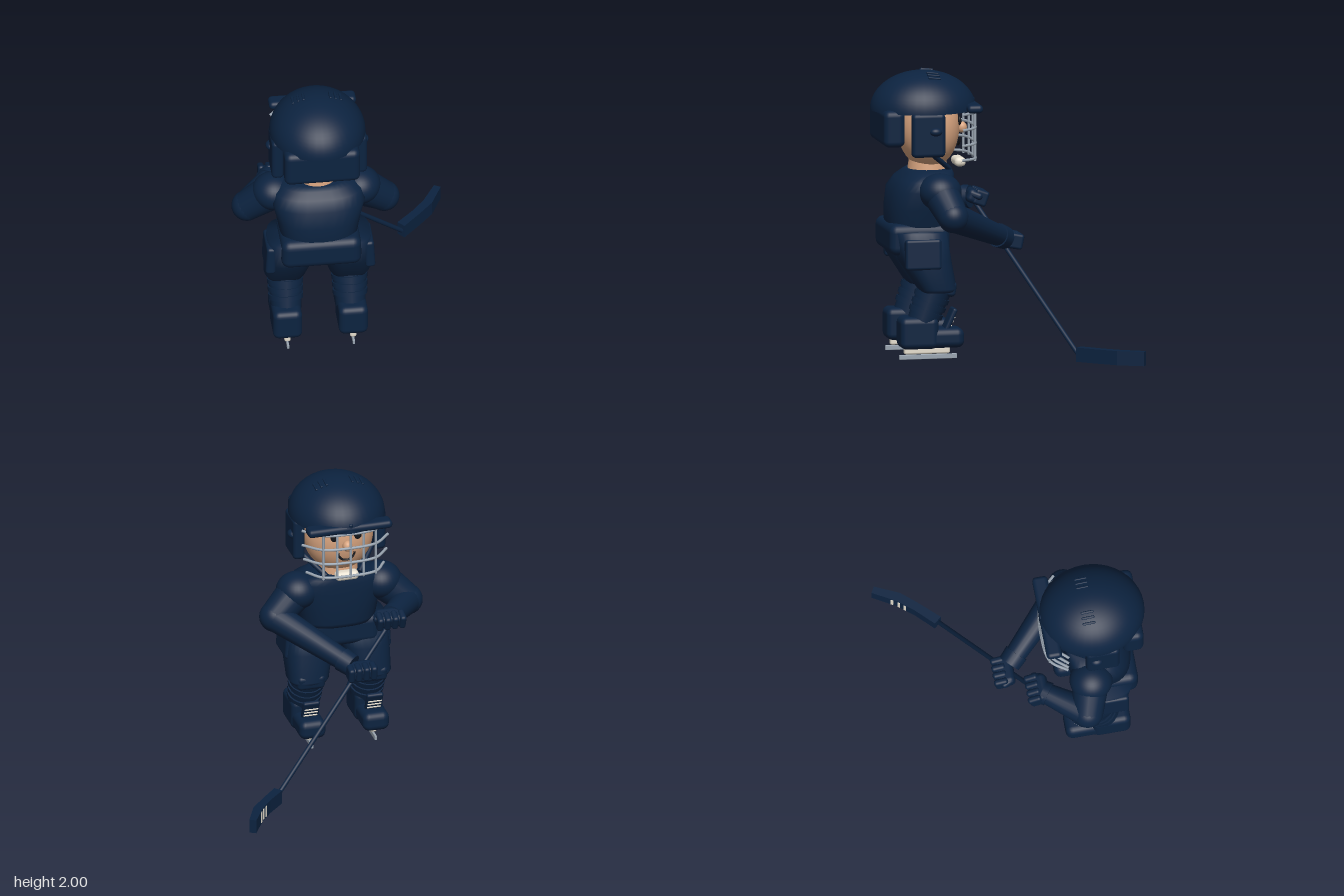
import * as THREE from 'three';
import { RoundedBoxGeometry } from 'three/addons/geometries/RoundedBoxGeometry.js';

const V = (x, y, z) => new THREE.Vector3(x, y, z);
const material = (name, color) => {
  const m = new THREE.MeshStandardMaterial({ color });
  m.name = name;
  return m;
};

// Closed loft through superellipse rings [x, y, z, rx, rz], listed bottom to top.
function loft(rings, power = 0.75, n = 32) {
  const first = rings[0], last = rings[rings.length - 1];
  const all = [[...first.slice(0, 3), 0, 0], ...rings, [...last.slice(0, 3), 0, 0]];
  const pos = [], idx = [];
  const bend = v => Math.sign(v) * Math.abs(v) ** power;
  for (const [x, y, z, rx, rz] of all) {
    for (let j = 0; j < n; j++) {
      const t = (j / n) * Math.PI * 2;
      pos.push(x + rx * bend(Math.cos(t)), y, z + rz * bend(Math.sin(t)));
    }
  }
  for (let i = 0; i < all.length - 1; i++) {
    for (let j = 0; j < n; j++) {
      const a = i * n + j, b = i * n + (j + 1) % n;
      idx.push(a, a + n, b, b, a + n, b + n);
    }
  }
  const g = new THREE.BufferGeometry();
  g.setAttribute('position', new THREE.Float32BufferAttribute(pos, 3));
  g.setIndex(idx);
  g.computeVertexNormals();
  return g;
}

export function createModel() {
  const navy = material('navy', 0x0c2340);
  const skin = material('skin', 0xd8a47f);
  const steel = material('steel', 0x9aa5b1);
  const cream = material('cream', 0xe8e0d0);
  const dark = material('dark', 0x15171c);

  const model = new THREE.Group();
  model.name = 'icePlayer';
  const body = new THREE.Group();
  body.name = 'body';
  body.position.x = -0.22;
  model.add(body);

  const add = (name, geo, mat, at = [0, 0, 0], rot = [0, 0, 0], parent = body) => {
    const m = new THREE.Mesh(geo, mat);
    m.name = name;
    m.position.set(...at);
    m.rotation.set(...rot);
    parent.add(m);
    return m;
  };
  const box = (name, size, r, mat, at, rot, parent) =>
    add(name, new RoundedBoxGeometry(...size, 3, r), mat, at, rot, parent);
  const ball = (name, radii, mat, at, parent) => {
    const m = add(name, new THREE.SphereGeometry(1, 32, 24), mat, at, [0, 0, 0], parent);
    m.scale.set(...radii);
    return m;
  };
  const rod = (name, a, b, ra, rb, mat, parent = body) => {
    const d = b.clone().sub(a);
    const m = add(name, new THREE.CylinderGeometry(rb, ra, d.length(), 20), mat,
      a.clone().add(b).multiplyScalar(0.5).toArray(), [0, 0, 0], parent);
    m.quaternion.setFromUnitVectors(V(0, 1, 0), d.normalize());
    return m;
  };

  // Head and face
  ball('head', [0.25, 0.29, 0.215], skin, [0, 1.6, 0.465]);
  ball('nose', [0.035, 0.04, 0.035], skin, [0, 1.59, 0.225]);
  add('mouth', new THREE.TorusGeometry(0.06, 0.008, 6, 16, Math.PI), dark, [0, 1.53, 0.255], [0, 0, Math.PI]);
  add('neck', new THREE.CylinderGeometry(0.13, 0.15, 0.14, 24), skin, [0, 1.31, 0.47]);

  // Helmet shell, brim and neck guard
  const dome = add('helmetShell', new THREE.SphereGeometry(1, 40, 16, 0, Math.PI * 2, 0, Math.PI / 2), navy, [0, 1.73, 0.503]);
  dome.scale.set(0.335, 0.27, 0.37);
  const under = add('helmetUnderside', new THREE.CircleGeometry(1, 40), navy, [0, 1.731, 0.503], [Math.PI / 2, 0, 0]);
  under.scale.set(0.335, 0.37, 1);
  box('helmetBrim', [0.61, 0.06, 0.11], 0.028, navy, [0, 1.755, 0.19]);
  box('helmetRidge', [0.03, 0.025, 0.1], 0.01, navy, [0, 1.787, 0.185]);
  box('helmetBack', [0.53, 0.26, 0.15], 0.045, navy, [0, 1.625, 0.755]);

  // Face cage
  const cage = new THREE.Group();
  cage.name = 'faceCage';
  body.add(cage);
  for (const [y, w] of [[1.72, 0.31], [1.61, 0.31], [1.5, 0.3], [1.395, 0.28]]) {
    const path = new THREE.CatmullRomCurve3([
      V(-w, y, 0.29), V(-0.19, y, 0.175), V(0, y, 0.148), V(0.19, y, 0.175), V(w, y, 0.29)]);
    add('cageBar', new THREE.TubeGeometry(path, 28, 0.01, 8), steel, [0, 0, 0], [0, 0, 0], cage);
  }
  for (const [x, z] of [[-0.19, 0.173], [-0.095, 0.155], [0, 0.148], [0.095, 0.155], [0.19, 0.173]]) {
    rod('cageUpright', V(x, 1.38, z), V(x, 1.74, z), 0.009, 0.009, steel, cage);
  }
  box('chinCup', [0.17, 0.065, 0.08], 0.03, cream, [0, 1.355, 0.25]);

  // Jersey
  add('jersey', loft([
    [0, 0.91, 0.54, 0.26, 0.215], [0, 0.94, 0.54, 0.275, 0.225], [0, 1.05, 0.535, 0.295, 0.23],
    [0, 1.18, 0.52, 0.33, 0.225], [0, 1.25, 0.495, 0.31, 0.195], [0, 1.29, 0.47, 0.26, 0.17],
    [0, 1.315, 0.46, 0.2, 0.15]]), navy);
  box('jerseyHem', [0.56, 0.22, 0.43], 0.06, navy, [0, 0.845, 0.575]);

  for (const s of [-1, 1]) {
    // Eyes, ear guards, vents and chin straps
    ball('eye', [0.028, 0.034, 0.015], dark, [s * 0.085, 1.65, 0.263]);
    box('earGuard', [0.085, 0.31, 0.235], 0.03, navy, [s * 0.292, 1.585, 0.527]);
    ball('earKnob', [0.035, 0.03, 0.045], navy, [s * 0.325, 1.61, 0.48]);
    for (const k of [-1, 0, 1]) {
      const x = 0.13 + k * 0.037;
      box('helmetVent', [0.018, 0.02, 0.09], 0.006, navy,
        [s * x, 1.73 + 0.27 * Math.sqrt(1 - (x / 0.335) ** 2 - 0.015), 0.455], [-0.1, 0, -s * 0.3]);
    }
    rod('chinStrap', V(s * 0.275, 1.46, 0.51), V(s * 0.12, 1.32, 0.34), 0.018, 0.018, navy);

    // Breeches with hip pads
    add('thigh', loft([
      [s * 0.225, 0.48, 0.455, 0.13, 0.12], [s * 0.225, 0.505, 0.455, 0.145, 0.135],
      [s * 0.205, 0.7, 0.535, 0.172, 0.182], [s * 0.175, 0.9, 0.57, 0.185, 0.19]]), navy);
    box('hipPad', [0.07, 0.215, 0.255], 0.022, navy, [s * 0.345, 0.755, 0.575], [0, 0, s * 0.05]);
    box('kneePad', [0.2, 0.11, 0.07], 0.03, navy, [s * 0.225, 0.5, 0.365], [-0.15, 0, 0]);

    // Socks with raised bands
    const knee = V(s * 0.225, 0.53, 0.455), ankle = V(s * 0.225, 0.24, 0.565);
    rod('shin', knee, ankle, 0.122, 0.105, navy);
    for (const t of [0.32, 0.5, 0.68]) {
      rod('sockBand', knee.clone().lerp(ankle, t - 0.055), knee.clone().lerp(ankle, t + 0.055),
        0.131 - t * 0.012, 0.129 - t * 0.012, navy);
    }

    // Skates
    const skate = new THREE.Group();
    skate.name = 'skate';
    skate.position.x = s * 0.23;
    body.add(skate);
    box('bootAnkle', [0.205, 0.225, 0.27], 0.045, navy, [0, 0.195, 0.59], [0, 0, 0], skate);
    box('bootToe', [0.19, 0.14, 0.36], 0.05, navy, [0, 0.155, 0.45], [0, 0, 0], skate);
    box('bootTongue', [0.12, 0.18, 0.035], 0.015, navy, [0, 0.275, 0.365], [-0.42, 0, 0], skate);
    for (const k of [0, 1, 2]) {
      box('lace', [0.1, 0.012, 0.012], 0.004, cream, [0, 0.24 + k * 0.028, 0.362 - k * 0.0125], [-0.42, 0, 0], skate);
    }
    box('bladeHolder', [0.045, 0.05, 0.325], 0.014, cream, [0, 0.065, 0.525], [0, 0, 0], skate);
    box('skateBlade', [0.016, 0.034, 0.41], 0.004, steel, [0, 0.02, 0.515], [0, 0, 0], skate);
  }

  // Arms, with one hand high and the other low on the stick
  const hands = [[-1, V(-0.26, 1.06, 0.075), 0.35], [1, V(0.005, 0.785, -0.12), 0.2]];
  for (const [s, hand, tilt] of hands) {
    const shoulder = V(s * 0.3, 1.185, 0.445), elbow = V(s * 0.48, 1.03, 0.39);
    ball('shoulder', [0.15, 0.13, 0.15], navy, shoulder.toArray());
    rod('upperArm', shoulder, elbow, 0.13, 0.108, navy);
    ball('elbow', [0.108, 0.108, 0.108], navy, elbow.toArray());
    const wrist = elbow.clone().lerp(hand, 0.9);
    rod('forearm', elbow, wrist, 0.104, 0.07, navy);
    rod('gloveCuff', elbow.clone().lerp(hand, 0.78), wrist, 0.085, 0.08, navy);

    const glove = new THREE.Group();
    glove.name = 'glove';
    glove.position.copy(hand);
    glove.rotation.x = -tilt;
    body.add(glove);
    box('palm', [0.2, 0.1, 0.13], 0.035, navy, [0, 0, 0.01], [0, 0, 0], glove);
    for (let k = 0; k < 4; k++) {
      box('finger', [0.046, 0.11, 0.1], 0.02, navy, [-0.081 + k * 0.054, 0.008, -0.022], [0, 0, 0], glove);
    }
    box('thumb', [0.05, 0.05, 0.1], 0.022, navy, [s * -0.085, 0.015, 0.02], [0, s * 0.4, 0], glove);
  }

  // Stick
  const stick = new THREE.Group();
  stick.name = 'stick';
  model.add(stick);
  rod('shaft', V(-0.52, 1.06, 0.1), V(0.485, 0.075, -0.45), 0.016, 0.016, navy, stick);
  const outline = new THREE.Shape([
    [0.502, 0.43], [0.625, 0.56], [0.725, 0.675], [0.806, 0.848],
    [0.762, 0.873], [0.67, 0.71], [0.58, 0.6], [0.46, 0.48]].map(p => new THREE.Vector2(...p)));
  add('stickBlade', new THREE.ExtrudeGeometry(outline, { depth: 0.1, bevelEnabled: false }), navy,
    [0, 0.026, 0], [-Math.PI / 2, 0, 0], stick);
  for (const [x, z, turn] of [[0.629, -0.66, 0.885], [0.659, -0.697, 0.885], [0.687, -0.741, 1.057]]) {
    add('bladeStripe', new THREE.BoxGeometry(0.018, 0.08, 0.009), cream, [x, 0.076, z], [0, turn, 0], stick);
  }
  return model;
}
